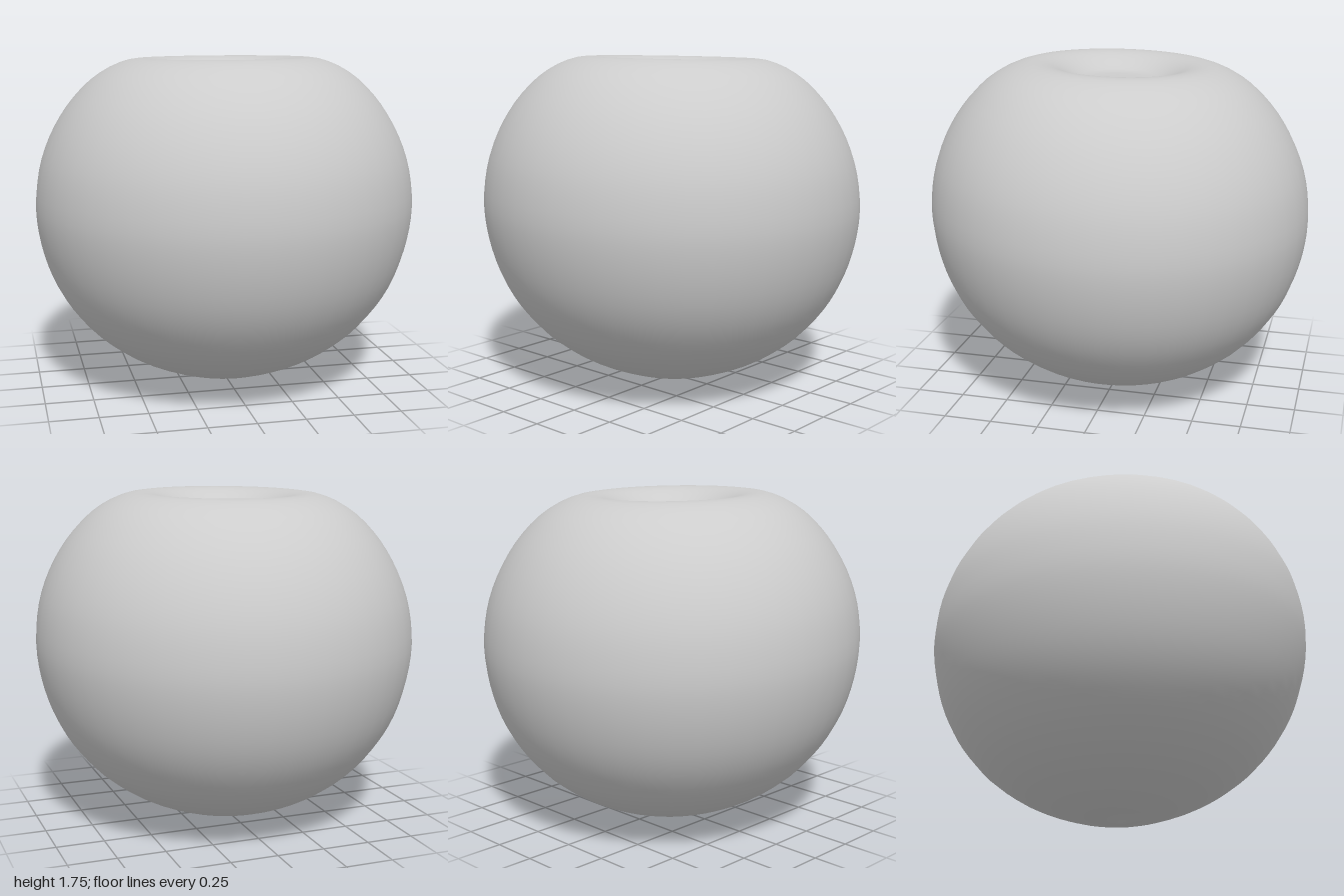
import * as THREE from 'three';

export function createModel() {
  const group = new THREE.Group();
  const grey = new THREE.MeshStandardMaterial({ color: 0xcccccc });
  grey.name = 'grey';

  // Profile from the small bottom tip, around the side, over the rim and into the dimple
  const profile = [
    [0, 0], [0.05, 0.018], [0.13, 0.03], [0.24, 0.05], [0.38, 0.098],
    [0.5, 0.152], [0.6, 0.213], [0.71, 0.3], [0.8, 0.4], [0.87, 0.5],
    [0.925, 0.61], [0.965, 0.73], [0.99, 0.85], [1, 0.97], [0.99, 1.1],
    [0.965, 1.22], [0.92, 1.34], [0.86, 1.45], [0.79, 1.545], [0.7, 1.635],
    [0.6, 1.7], [0.5, 1.737], [0.42, 1.742], [0.35, 1.728], [0.28, 1.697],
    [0.22, 1.67], [0.17, 1.661], [0.09, 1.66], [0, 1.66],
  ].map(([r, y]) => new THREE.Vector2(r, y));
  const points = new THREE.SplineCurve(profile).getPoints((profile.length - 1) * 2);
  for (const p of points) p.x = Math.max(0, p.x);
  points[0].x = points[points.length - 1].x = 0;

  const geometry = new THREE.LatheGeometry(points, 48);
  // The fruit leans a little: its front sits slightly higher than its back
  geometry.applyMatrix4(new THREE.Matrix4().set(
    1, 0, 0, 0,
    0, 1, 0.025, 0,
    0, 0, 1, 0,
    0, 0, 0, 1,
  ));

  const body = new THREE.Mesh(geometry, grey);
  body.name = 'fruitBody';
  group.add(body);
  return group;
}
